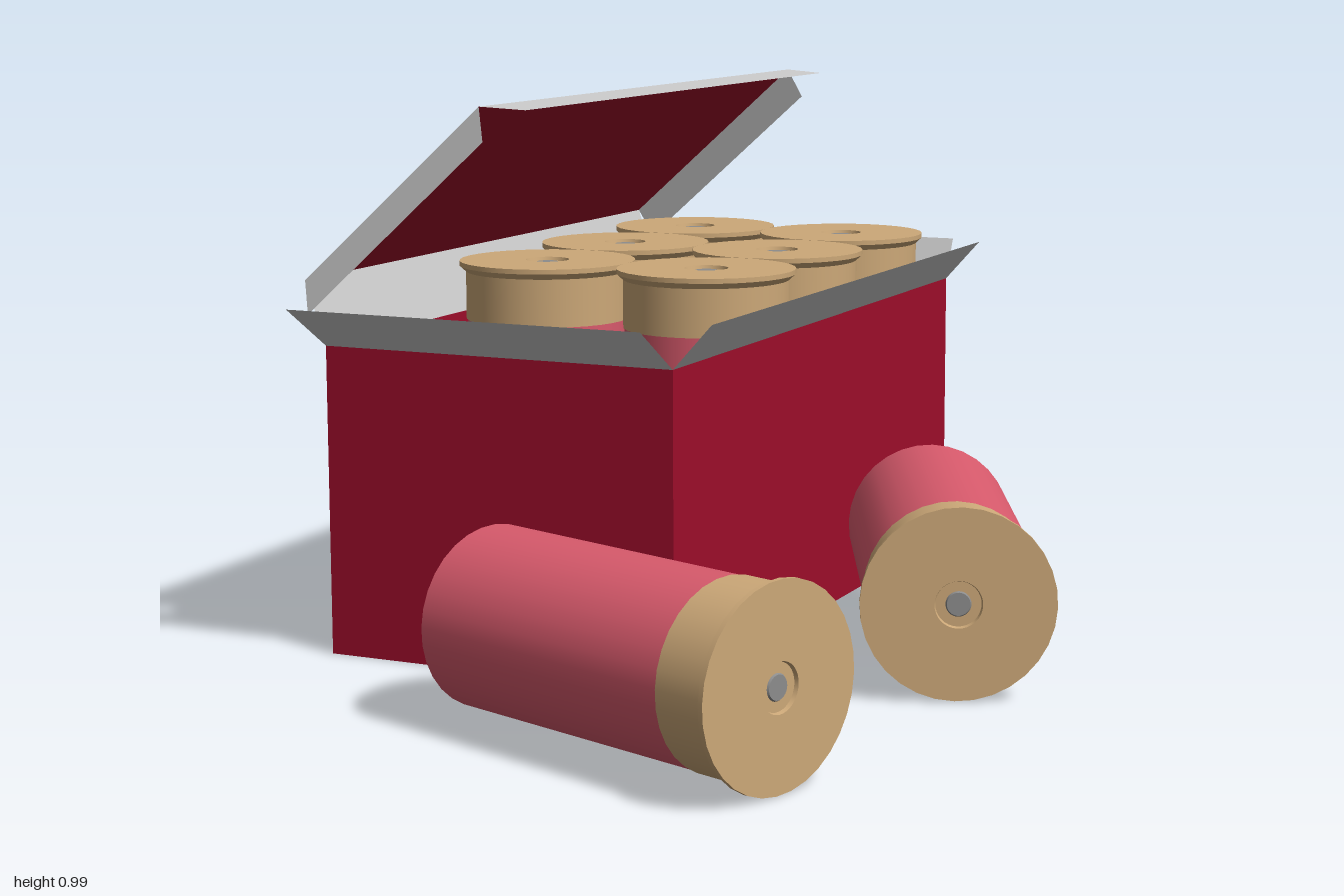
import * as THREE from 'three';

const mat = (color, side = THREE.FrontSide) => new THREE.MeshStandardMaterial({ color, side });
const cardRed = mat(0x9e0d2a, THREE.DoubleSide);
const cardGrey = mat(0xcccccc, THREE.DoubleSide);
const plastic = mat(0xd85a6c, THREE.DoubleSide);
const brass = mat(0xcca878);
const steel = mat(0x8c8c8c);

// Flat card panel from four corners
function panel(name, material, a, b, c, d) {
  const g = new THREE.BufferGeometry();
  g.setAttribute('position', new THREE.Float32BufferAttribute([...a, ...b, ...c, ...d], 3));
  g.setIndex([0, 1, 2, 0, 2, 3]);
  g.computeVertexNormals();
  const m = new THREE.Mesh(g, material);
  m.name = name;
  return m;
}

// Lathe with hard edges: each profile segment is turned separately
function turned(name, material, points) {
  const group = new THREE.Group();
  group.name = name;
  for (let i = 0; i < points.length - 1; i++) {
    const pair = [points[i], points[i + 1]].map(p => new THREE.Vector2(...p));
    const m = new THREE.Mesh(new THREE.LatheGeometry(pair, 32), material);
    m.name = name + 'Surface';
    group.add(m);
  }
  return group;
}

// Shell along +y: tail at 0, brass head at L
const L = 0.655;
function makeShell(name) {
  const s = new THREE.Group();
  s.name = name;
  s.add(
    turned('tube', plastic, [[0, 0.03], [0.143, 0.03], [0.146, 0], [0.153, 0.006], [0.153, L - 0.11]]),
    turned('brassHead', brass, [
      [0.153, L - 0.11], [0.155, L - 0.11], [0.155, L - 0.02], [0.167, L - 0.009], [0.167, L],
      [0.041, L], [0.039, L - 0.007], [0.02, L - 0.007],
    ]),
    turned('primer', steel, [[0.022, L - 0.007], [0.02, L - 0.004], [0, L - 0.004]]),
  );
  return s;
}

export function createModel() {
  const model = new THREE.Group();
  const x0 = -0.625, x1 = 0.053, z0 = -0.96, z1 = 0.39, h = 0.56, t = 0.64;

  // Carton body and its opened rim flaps
  const carton = new THREE.Group();
  carton.name = 'carton';
  carton.add(
    panel('floor', cardGrey, [x0, 0, z0], [x1, 0, z0], [x1, 0, z1], [x0, 0, z1]),
    panel('frontWall', cardRed, [x0, 0, z1], [x1, 0, z1], [x1, h, z1], [x0, h, z1]),
    panel('backWall', cardRed, [x1, 0, z0], [x0, 0, z0], [x0, h, z0], [x1, h, z0]),
    panel('leftWall', cardRed, [x1, 0, z1], [x1, 0, z0], [x1, h, z0], [x1, h, z1]),
    panel('rightWall', cardRed, [x0, 0, z0], [x0, 0, z1], [x0, h, z1], [x0, h, z0]),
    panel('frontFlap', cardGrey, [x0, h, z1], [x1, h, z1], [x1, t, 0.515], [x0, t, 0.515]),
    panel('backFlap', cardGrey, [x1, h, z0], [x0, h, z0], [x0, t, -1], [x1, t, -1]),
    panel('sideFlap', cardGrey, [x1, h, z1], [x1, h, z0], [0.125, t, z0], [0.125, t, z1]),
  );
  model.add(carton);

  // Raised lid: hinge strip, top, tuck flap and two end flaps
  const lid = new THREE.Group();
  lid.name = 'lid';
  const hx = -0.665, hy = 0.675, tx = -0.31, ty = 0.99;
  lid.add(
    panel('hingeStrip', cardGrey, [x0, h, z0], [x0, h, z1], [hx, hy, z1], [hx, hy, z0]),
    panel('lidTop', cardRed, [hx, hy, z0], [hx, hy, z1], [tx, ty, z1], [tx, ty, z0]),
    panel('tuckFlap', cardGrey, [tx, ty, z0], [tx, ty, z1], [-0.228, 0.985, z1 - 0.015], [-0.228, 0.985, z0 + 0.015]),
  );
  for (const [name, z, zo] of [['lidFrontFlap', z1, 0.418], ['lidBackFlap', z0, -0.985]]) {
    lid.add(panel(name, cardGrey, [hx, hy, z], [-0.643, 0.618, zo], [-0.288, 0.932, zo], [tx, ty, z]));
  }
  model.add(lid);

  // Packed shells, heads up
  for (const x of [-0.45, -0.118]) {
    for (const z of [-0.12, -0.455, -0.79]) {
      const s = makeShell('packedShell');
      s.position.set(x, 0.012, z);
      model.add(s);
    }
  }

  // Loose shells lying on the ground, placed by tail and direction of the head
  const up = new THREE.Vector3(0, 1, 0);
  for (const [hxp, hzp, dx, dz] of [[0.44, 0.838, 0.94, 0.34], [0.51, 0.237, 0.415, 0.91]]) {
    const s = makeShell('looseShell');
    const dir = new THREE.Vector3(dx, 0, dz).normalize();
    s.quaternion.setFromUnitVectors(up, dir);
    s.position.set(hxp, 0.168, hzp).addScaledVector(dir, -L);
    model.add(s);
  }
  return model;
}
